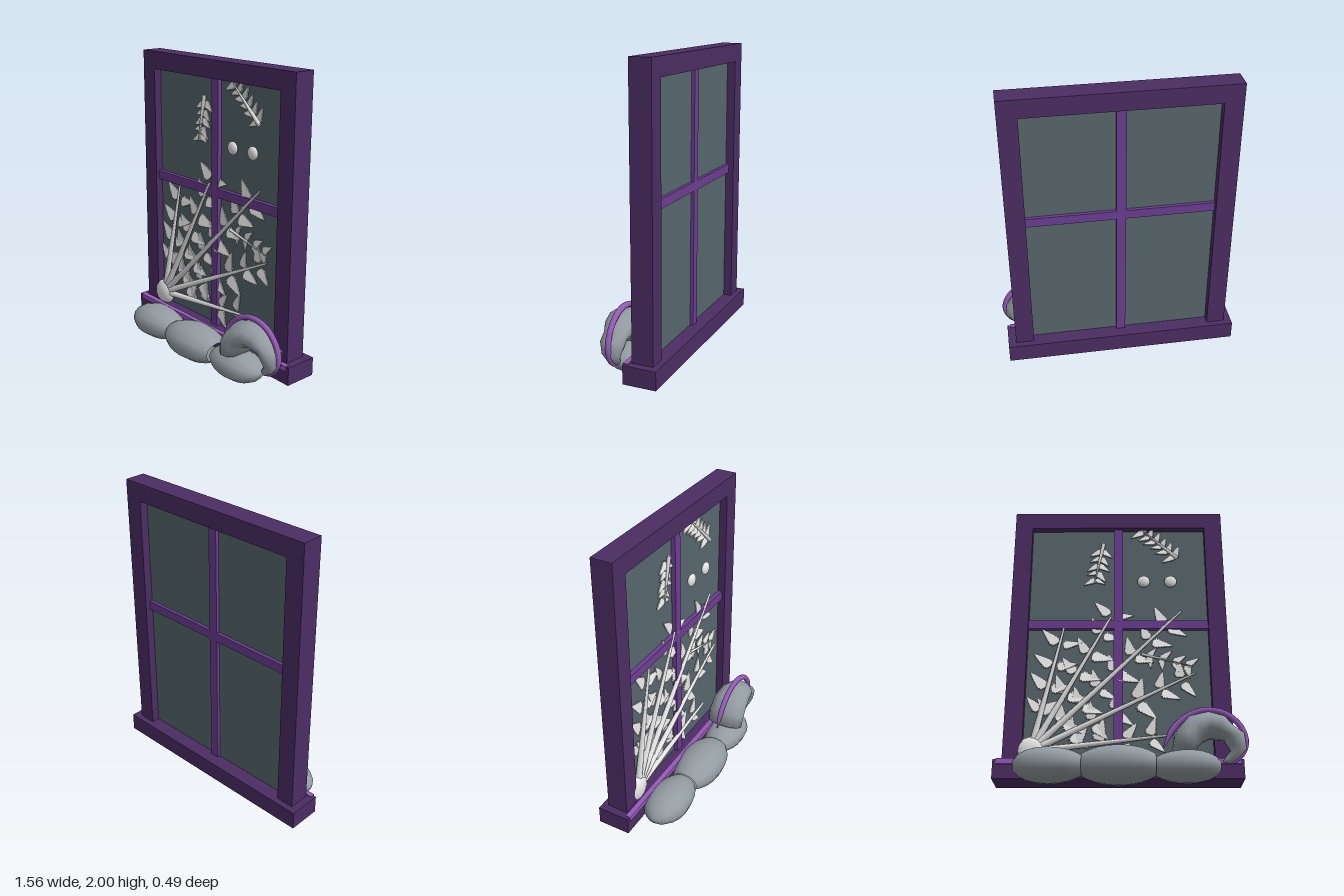
import * as THREE from 'three';

const mat = (name, color, side = THREE.FrontSide) => {
  const m = new THREE.MeshStandardMaterial({ color, side });
  m.name = name;
  return m;
};

// Sweep of elliptical rings along a path in the XY plane; stations are [x, y, radius, zRadius]
function sweep(stations, z, sides) {
  const pos = [], index = [];
  stations.forEach(([x, y, r, rz], i) => {
    const a = stations[Math.max(i - 1, 0)], b = stations[Math.min(i + 1, stations.length - 1)];
    const l = Math.hypot(b[0] - a[0], b[1] - a[1]);
    const nx = -(b[1] - a[1]) / l, ny = (b[0] - a[0]) / l;
    for (let j = 0; j < sides; j++) {
      const t = (j / sides) * Math.PI * 2, c = Math.cos(t) * r;
      pos.push(x + nx * c, y + ny * c, z + Math.sin(t) * rz);
      if (i < stations.length - 1) {
        const p = i * sides + j, q = i * sides + ((j + 1) % sides);
        index.push(p, q, p + sides, q, q + sides, p + sides);
      }
    }
  });
  const g = new THREE.BufferGeometry();
  g.setAttribute('position', new THREE.Float32BufferAttribute(pos, 3));
  g.setIndex(index);
  g.computeVertexNormals();
  return g;
}

// Broad saw-edged leaf of unit length pointing along +x
function leafGeometry() {
  const teeth = 8, upper = [[0, 0.06]];
  for (let i = 0; i < teeth; i++) {
    const u = (i + 0.5) / teeth;
    const w = 0.38 * Math.pow(1 - u, 0.8) * Math.min(1, 0.6 + u * 2.5);
    upper.push([u - 0.02, w], [u + 0.035, w * 0.75]);
  }
  const outline = [...upper, [1, 0], ...upper.slice().reverse().map(([x, y]) => [x, -y])];
  const shape = new THREE.Shape(outline.map(([x, y]) => new THREE.Vector2(x, y)));
  return new THREE.ExtrudeGeometry(shape, { depth: 0.008, bevelEnabled: false });
}

export function createModel() {
  const root = new THREE.Group();
  root.name = 'frostedWindow';
  const framePurple = mat('frame purple', 0x4b2d63);
  const barPurple = mat('bar purple', 0x6c3e92);
  const trimPurple = mat('trim purple', 0x965abb);
  const glassGrey = mat('glass grey', 0x57666c);
  const frostWhite = mat('frost white', 0xe6e6e6, THREE.DoubleSide);
  const bodyGrey = mat('body grey', 0x939ca2, THREE.DoubleSide);

  const add = (name, geometry, material, parent = root) => {
    const m = new THREE.Mesh(geometry, material);
    m.name = name;
    parent.add(m);
    return m;
  };
  const box = (name, material, x0, x1, y0, y1, z0, z1) => {
    const m = add(name, new THREE.BoxGeometry(x1 - x0, y1 - y0, z1 - z0), material);
    m.position.set((x0 + x1) / 2, (y0 + y1) / 2, (z0 + z1) / 2);
  };

  // Window frame, sill, bars and pane
  box('frameLeftPost', framePurple, 0.587, 0.708, 0.15, 2, -0.204, -0.063);
  box('frameRightPost', framePurple, -0.733, -0.612, 0.15, 2, -0.204, -0.063);
  box('frameTop', framePurple, -0.612, 0.587, 1.882, 2, -0.204, -0.063);
  box('sill', framePurple, -0.783, 0.759, 0.073, 0.195, -0.245, -0.025);
  box('sillTrim', trimPurple, -0.763, 0.739, 0.165, 0.2, -0.05, -0.018);
  box('verticalBar', barPurple, -0.043, 0.018, 0.19, 1.882, -0.17, -0.085);
  box('horizontalBar', barPurple, -0.612, 0.587, 1.11, 1.17, -0.17, -0.085);
  box('glass', glassGrey, -0.612, 0.587, 0.19, 1.882, -0.148, -0.115);

  // Frost fronds: tapered stems with saw-edged leaves
  let seed = 7;
  const rand = () => (seed = (seed * 16807) % 2147483647) / 2147483647;
  const leaf = leafGeometry();
  const frost = new THREE.Group();
  frost.name = 'frost';
  root.add(frost);

  function frond(x0, y0, x1, y1, r, leafSize, step, start, offset) {
    const dx = x1 - x0, dy = y1 - y0, length = Math.hypot(dx, dy), dir = Math.atan2(dy, dx);
    add('frostStem', sweep([[x0, y0, r, r], [x1, y1, r * 0.3, r * 0.3]], -0.085, 7), frostWhite, frost);
    for (let d = start; d < length; d += step) {
      for (const side of [-1, 1]) {
        const angle = dir + side * (1.05 + (rand() - 0.5) * 0.5);
        const size = leafSize * (0.85 + rand() * 0.3);
        const x = x0 + Math.cos(dir) * d + Math.cos(angle) * offset;
        const y = y0 + Math.sin(dir) * d + Math.sin(angle) * offset;
        const tx = x + Math.cos(angle) * size, ty = y + Math.sin(angle) * size;
        if (Math.min(x, tx) < -0.63 || Math.min(y, ty) < 0.18) continue;
        const m = add('frostLeaf', leaf, frostWhite, frost);
        m.position.set(x, y, -0.103);
        m.rotation.set(-0.3 * Math.cos(angle), 0, angle, 'ZYX');
        m.scale.set(size, size, 1);
      }
    }
  }
  const hub = [-0.56, 0.265];
  for (const [x, y] of [[-0.375, 1.11], [-0.06, 1.2], [0.41, 1.24], [0.487, 0.79], [0.33, 0.37]])
    frond(...hub, x, y, 0.024, 0.135, 0.16, 0.26, 0.025);
  frond(0.14, 0.925, 0.47, 0.84, 0.01, 0.085, 0.085, 0.05, 0);
  frond(-0.116, 1.765, -0.175, 1.46, 0.014, 0.085, 0.058, 0.05, 0);
  frond(0.395, 1.65, 0.16, 1.87, 0.014, 0.085, 0.058, 0.03, 0);

  // Frost hub and two round dots
  const dot = (name, x, y, r, zr) => {
    const m = add(name, new THREE.SphereGeometry(r, 16, 12), frostWhite, frost);
    m.position.set(x, y, -0.085);
    m.scale.z = zr / r;
  };
  dot('frostHub', ...hub, 0.09, 0.042);
  dot('frostDot', 0.16, 1.466, 0.043, 0.02);
  dot('frostDot', 0.343, 1.466, 0.043, 0.02);

  // Three plump body segments: x range, centre y and z, radii, end pinches
  const segments = [
    [-0.65, -0.232, 0.125, 0.078, 0.11, 0.148, 1, 0.7],
    [-0.232, 0.213, 0.125, 0.083, 0.12, 0.163, 0.7, 0.7],
    [0.213, 0.61, 0.118, 0.075, 0.1, 0.138, 0.7, 1],
  ];
  for (const [x0, x1, y, z, r, rz, k0, k1] of segments) {
    const stations = [];
    for (let i = 0; i <= 10; i++) {
      const s = -Math.cos((i / 10) * Math.PI);
      const f = Math.sqrt(1 - s * s * (s < 0 ? k0 : k1));
      stations.push([x0 + (x1 - x0) * (s + 1) / 2, y, r * f, rz * f]);
    }
    add('bodySegment', sweep(stations, z, 12), bodyGrey);
  }

  // Curled end in pinched segments
  add('curledEnd', sweep([
    [0.38, 0.195, 0.002, 0.002], [0.383, 0.215, 0.07, 0.132], [0.403, 0.29, 0.083, 0.135],
    [0.46, 0.352, 0.089, 0.13], [0.54, 0.377, 0.083, 0.115], [0.61, 0.362, 0.076, 0.1],
    [0.66, 0.328, 0.052, 0.08], [0.698, 0.292, 0.066, 0.08], [0.71, 0.235, 0.056, 0.062],
    [0.692, 0.195, 0.036, 0.045], [0.65, 0.16, 0.026, 0.03], [0.615, 0.15, 0.002, 0.002],
  ], 0.07, 12), bodyGrey);

  // Arched spine over the curled end
  const arch = new THREE.CatmullRomCurve3([
    [0.265, 0.245], [0.32, 0.355], [0.41, 0.44], [0.53, 0.48], [0.65, 0.455],
    [0.735, 0.375], [0.762, 0.28], [0.735, 0.195], [0.69, 0.15], [0.635, 0.133],
  ].map(([x, y]) => new THREE.Vector3(x, y, 0)));
  const spine = arch.getPoints(32).map((p, i) => {
    const r = 0.019 * Math.min(1, 0.3 + i / 4, 0.1 + (32 - i) / 10);
    return [p.x, p.y, r, r];
  });
  add('archedSpine', sweep([[0.26, 0.24, 0.001, 0.001], ...spine], 0.068, 8), trimPurple);

  return root;
}
